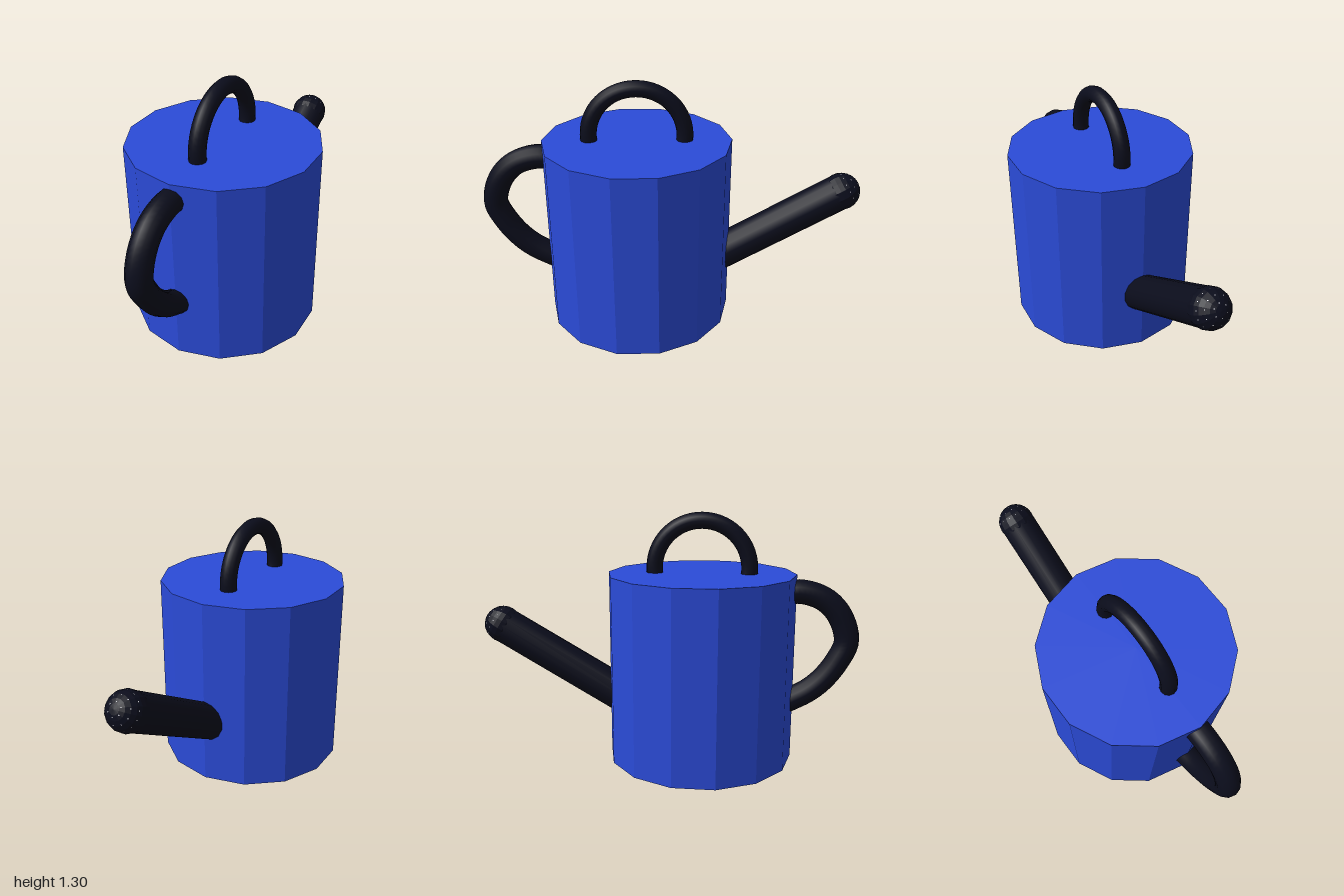
import * as THREE from 'three';

const BODY_Z = 0.18;

export function createModel() {
  const can = new THREE.Group();
  can.name = 'wateringCan';
  const blue = new THREE.MeshStandardMaterial({ color: 0x2b4bd8, flatShading: true });
  const dark = new THREE.MeshStandardMaterial({ color: 0x0b0d1c });
  const darkFlat = new THREE.MeshStandardMaterial({ color: 0x0b0d1c, flatShading: true });
  const pale = new THREE.MeshStandardMaterial({ color: 0xe8e8ee });

  const add = (name, geometry, material, parent = can) => {
    const mesh = new THREE.Mesh(geometry, material);
    mesh.name = name;
    parent.add(mesh);
    return mesh;
  };

  // Fourteen-sided closed tank
  add('body', new THREE.CylinderGeometry(0.49, 0.49, 0.99, 14), blue).position.set(0, 0.495, BODY_Z);

  // Carrying hoop, its ends sunk into the lid
  const hoop = new THREE.TorusGeometry(0.247, 0.043, 12, 32, Math.PI + 0.4);
  hoop.rotateZ(-0.2).rotateY(Math.PI / 2);
  add('topHandle', hoop, dark).position.set(0, 1.014, BODY_Z);

  // Pouring handle: round at the top, easing back into the wall below
  const grip = new THREE.CatmullRomCurve3([
    [0.88, 0.58], [0.902, 0.68], [0.867, 0.808], [0.78, 0.895], [0.645, 0.936],
    [0.545, 0.898], [0.445, 0.83], [0.375, 0.755], [0.325, 0.67], [0.28, 0.58],
  ].map(([y, z]) => new THREE.Vector3(0, y, z)));
  add('backHandle', new THREE.TubeGeometry(grip, 40, 0.064, 12), dark);

  // Spout rising at thirty degrees, local y along its length
  const spout = new THREE.Group();
  spout.name = 'spout';
  spout.position.set(0, 0.69, -0.9);
  spout.rotation.x = -Math.PI / 3;
  can.add(spout);
  const length = 0.85;
  add('spoutTube', new THREE.CylinderGeometry(0.096, 0.096, length, 14), dark, spout).position.y = -length / 2;

  // Rounded sprinkler end with rings of tiny holes
  add('spoutRose', new THREE.SphereGeometry(0.1, 14, 12), darkFlat, spout);
  const up = new THREE.Vector3(0, 0, 1);
  for (const [tilt, count] of [[0.35, 6], [0.75, 10], [1.15, 14]]) {
    for (let i = 0; i < count; i++) {
      const normal = new THREE.Vector3().setFromSphericalCoords(1, tilt, (i / count) * Math.PI * 2);
      const hole = add('sprinkleHole', new THREE.CircleGeometry(0.003, 6), pale, spout);
      hole.position.copy(normal).multiplyScalar(0.1);
      hole.quaternion.setFromUnitVectors(up, normal);
    }
  }
  return can;
}
